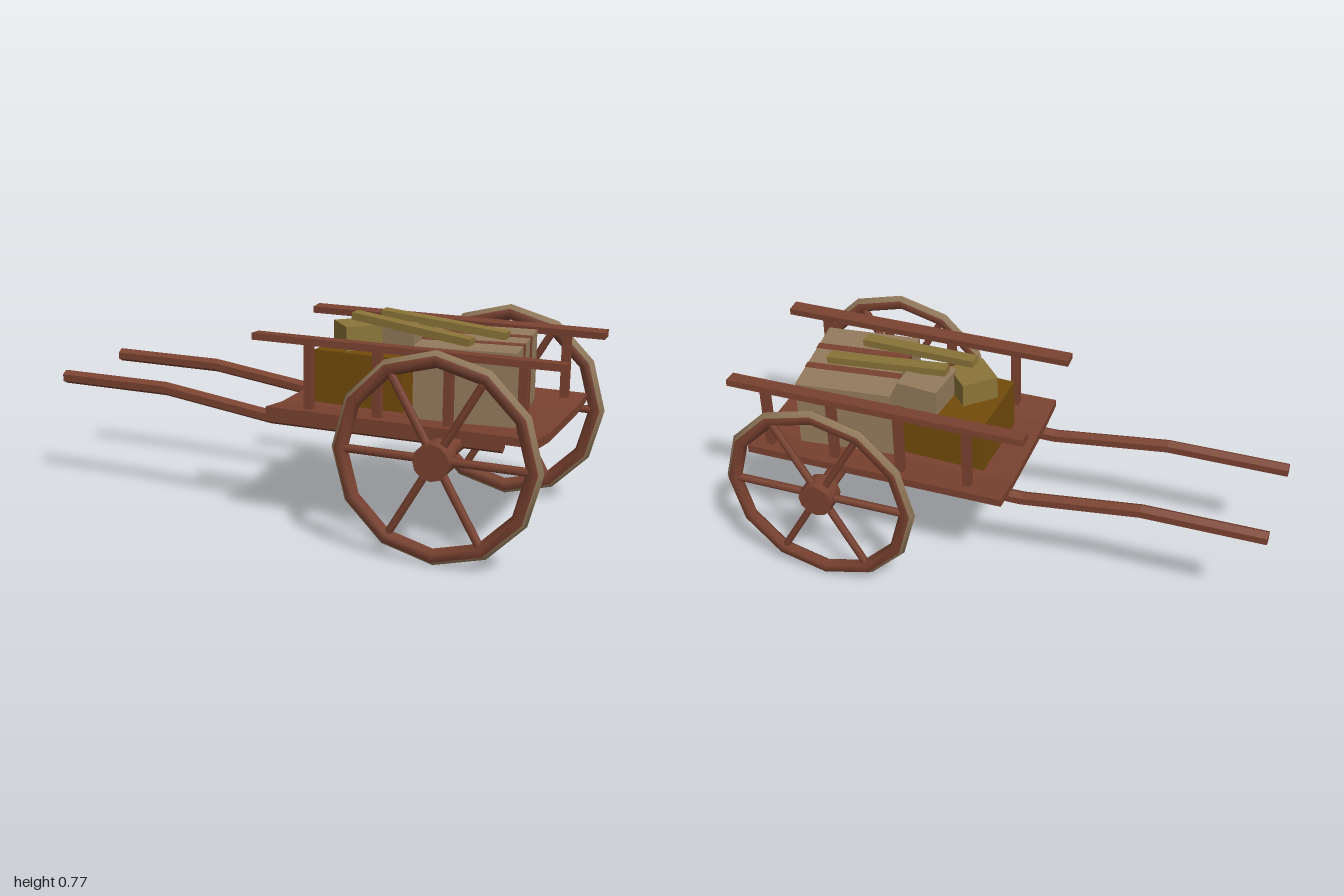
import * as THREE from 'three';

const material = (name, color) => Object.assign(new THREE.MeshStandardMaterial({ color }), { name });

export function createModel() {
  const wood = material('reddish wood', 0x7a4230);
  const tan = material('tan', 0x947b5c);
  const gold = material('pale gold wood', 0x8a7438);
  const ochre = material('dark ochre', 0x734b0c);

  const cart = new THREE.Group();
  cart.name = 'handcart';

  const add = (name, geometry, mat, x = 0, y = 0, z = 0, parent = cart) => {
    const mesh = new THREE.Mesh(geometry, mat);
    mesh.name = name;
    mesh.position.set(x, y, z);
    parent.add(mesh);
    return mesh;
  };
  const box = (name, size, mat, pos, parent = cart) =>
    add(name, new THREE.BoxGeometry(...size), mat, ...pos, parent);

  // Bed: flat middle with gently raised sides, extruded along x
  const section = new THREE.Shape([
    [-0.325, 0.435], [-0.19, 0.42], [0.19, 0.42], [0.325, 0.435],
    [0.325, 0.465], [0.19, 0.45], [-0.19, 0.45], [-0.325, 0.465],
  ].map(([x, y]) => new THREE.Vector2(x, y)));
  const bed = new THREE.ExtrudeGeometry(section, { depth: 0.995, bevelEnabled: false });
  bed.rotateY(Math.PI / 2);
  add('bed', bed, wood, -0.07, 0, 0);

  // Handles: six-sided poles bent along a short path
  const path = [[-1, 0.447], [-0.55, 0.447], [-0.11, 0.39], [0.77, 0.39]];
  const pole = new THREE.CylinderGeometry(0.026, 0.026, 3, 6, 3);
  pole.rotateY(Math.PI / 2).rotateZ(-Math.PI / 2);
  const p = pole.attributes.position;
  for (let i = 0; i < p.count; i++) {
    const [x, y] = path[Math.round(p.getX(i) + 1.5)];
    p.setXYZ(i, x, y + p.getY(i), p.getZ(i));
  }
  const handleGeometry = pole.toNonIndexed();
  handleGeometry.computeVertexNormals();

  // Axle
  const axle = new THREE.CylinderGeometry(0.033, 0.033, 0.8, 8);
  axle.rotateX(Math.PI / 2);
  add('axle', axle, wood, 0.6, 0.38, 0);

  // Wheel rim: six-sided section, the two outer faces are the tan tyre
  const rim = new THREE.TorusGeometry(0.345, 0.03, 6, 12);
  rim.scale(1, 1, 0.75);
  rim.clearGroups();
  rim.addGroup(0, 72, 0);
  rim.addGroup(72, 288, 1);
  rim.addGroup(360, 72, 0);
  const hub = new THREE.CylinderGeometry(0.065, 0.065, 0.082, 12);
  hub.rotateX(Math.PI / 2);
  const spoke = new THREE.CylinderGeometry(0.015, 0.015, 0.29, 6);
  spoke.translate(0, 0.185, 0);

  for (const side of [1, -1]) {
    const label = side > 0 ? 'front' : 'back';
    add(label + 'Handle', handleGeometry, wood, 0, 0, side * 0.2);

    const wheel = new THREE.Group();
    wheel.name = label + 'Wheel';
    wheel.position.set(0.6, 0.38, side * 0.41);
    cart.add(wheel);
    add('rim', rim, [tan, wood], 0, 0, 0, wheel);
    add('hub', hub, wood, 0, 0, 0, wheel);
    for (let i = 0; i < 6; i++) {
      add('spoke', spoke, wood, 0, 0, 0, wheel).rotation.z = Math.PI / 6 + i * Math.PI / 3;
    }

    // Side rail on four posts
    const rail = box(label + 'Rail', [1.14, 0.025, 0.055], wood, [0.43, 0.705, side * 0.263]);
    rail.rotation.x = -side * 0.06;
    for (let i = 0; i < 4; i++) {
      box(label + 'Post', [0.03, 0.25, 0.03], wood, [0.075 + i * 0.26, 0.572, side * 0.27]);
    }
  }

  // Large crate with two straps
  const crate = new THREE.Group();
  crate.name = 'largeCrate';
  crate.position.set(0.6, 0.58, -0.005);
  crate.rotation.y = 0.11;
  cart.add(crate);
  box('crateBody', [0.36, 0.26, 0.395], tan, [0, 0, 0], crate);
  for (const z of [-0.066, 0.066]) {
    box('strap', [0.364, 0.262, 0.033], wood, [0, 0.001, z], crate);
  }

  // Smaller boxes
  box('ochreBox', [0.345, 0.195, 0.31], ochre, [0.217, 0.547, -0.005]).rotation.y = -0.04;
  box('tanBox', [0.16, 0.1, 0.17], tan, [0.305, 0.693, -0.062]).rotation.y = -0.09;
  box('goldBox', [0.137, 0.09, 0.137], gold, [0.16, 0.688, 0.03]).rotation.y = 0.75;

  // Two loose planks sloping down over the load
  const plank = (a, b) => {
    const from = new THREE.Vector3(...a), to = new THREE.Vector3(...b);
    const mesh = box('plank', [0.048, 0.027, from.distanceTo(to)], gold,
      from.clone().add(to).multiplyScalar(0.5).toArray());
    mesh.lookAt(to);
  };
  plank([0.235, 0.765, -0.032], [0.705, 0.722, -0.032]);
  plank([0.158, 0.765, 0.053], [0.622, 0.722, 0.12]);

  return cart;
}
